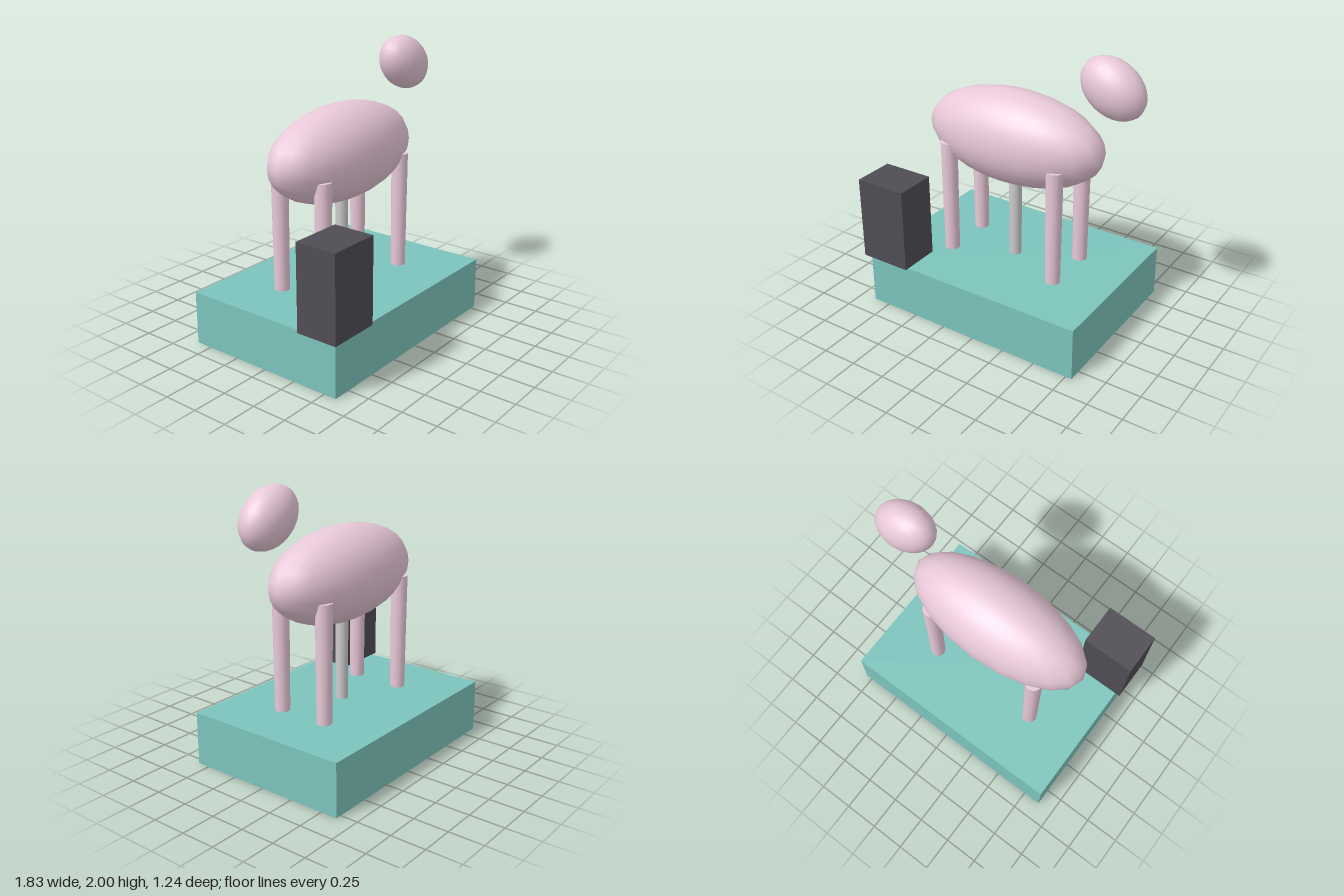
import * as THREE from 'three';

const paint = (color) => new THREE.MeshStandardMaterial({ color });

export function createModel() {
  const model = new THREE.Group();
  const pink = paint(0xe8c8d8), teal = paint(0x7cc4bc), dark = paint(0x504c54), grey = paint(0xcccccc);
  const midX = -0.042, midZ = -0.014, deck = 0.38;

  const add = (name, geometry, material, x, y, z) => {
    const mesh = new THREE.Mesh(geometry, material);
    mesh.name = name;
    mesh.position.set(x, y, z);
    model.add(mesh);
    return mesh;
  };
  const ellipsoid = (rx, ry, rz) => new THREE.SphereGeometry(1, 20, 16).scale(rx, ry, rz);

  // Platform and the box on its corner
  add('base', new THREE.BoxGeometry(1.675, deck, 1.215), teal, midX, deck / 2, midZ);
  add('controlBox', new THREE.BoxGeometry(0.376, 0.606, 0.302), dark, -0.728, 0.686, 0.472);

  // Central support post, running up into the body
  add('post', new THREE.CylinderGeometry(0.045, 0.045, 0.85, 20), grey, midX, deck + 0.425, midZ);

  // Body and the tilted, floating head
  add('body', ellipsoid(0.682, 0.332, 0.3), pink, midX, 1.298, midZ);
  add('head', ellipsoid(0.239, 0.181, 0.15), pink, 0.687, 1.8, midZ).rotation.z = -0.56;

  // Four slightly tapered legs
  for (const sx of [-1, 1]) {
    for (const sz of [-1, 1]) {
      const leg = new THREE.CylinderGeometry(0.059, 0.053, 0.84, 16);
      add(`${sx > 0 ? 'front' : 'rear'}Leg${sz > 0 ? 'Right' : 'Left'}`, leg, pink,
        midX + sx * 0.427, deck + 0.42, midZ + sz * 0.185);
    }
  }
  return model;
}
